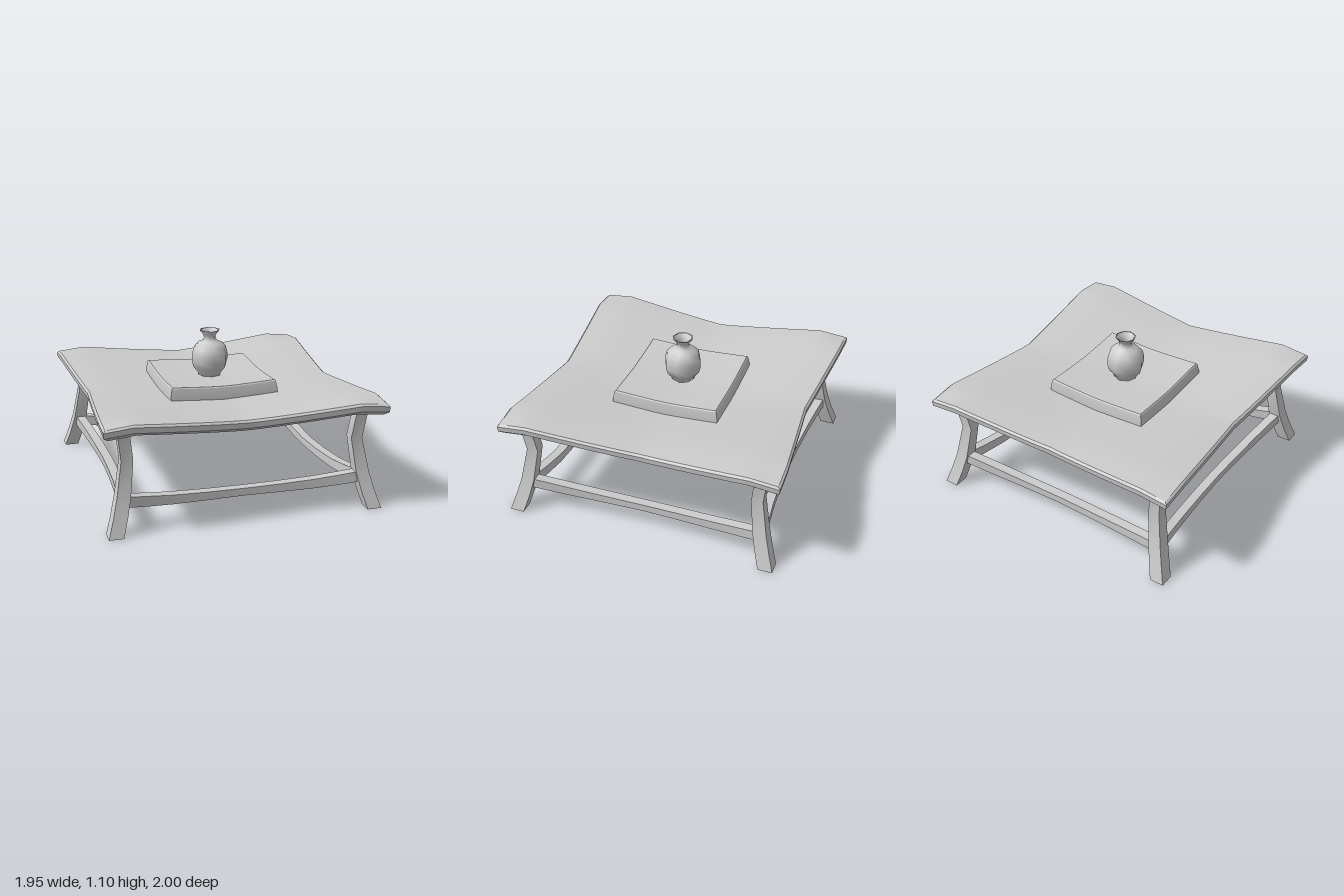
import * as THREE from 'three';
import { toCreasedNormals } from 'three/addons/utils/BufferGeometryUtils.js';

const material = new THREE.MeshStandardMaterial({ color: 0xcccccc });

function add(parent, name, geometry) {
  const mesh = new THREE.Mesh(geometry, material);
  mesh.name = name;
  parent.add(mesh);
  return mesh;
}

// Box whose layers follow an outline and a height rule.
// layers: [inset, drop] from top to bottom
function slab(segments, layers, outline, height) {
  const g = new THREE.BoxGeometry(2, 1, 2, segments, layers.length - 1, segments);
  const p = g.attributes.position;
  for (let i = 0; i < p.count; i++) {
    const u = p.getX(i), v = p.getZ(i);
    const [inset, drop] = layers[Math.round((0.5 - p.getY(i)) * (layers.length - 1))];
    p.setXYZ(i, u * (outline(Math.abs(v)) - inset),
      height(Math.abs(u), Math.abs(v)) - drop,
      v * (outline(Math.abs(u)) - inset));
  }
  return toCreasedNormals(g, 0.45);
}

// Solid bar through four-cornered sections, with end caps
function loft(sections) {
  const pos = [];
  const quad = (a, b, c, d) => pos.push(...a, ...b, ...c, ...a, ...c, ...d);
  for (let s = 0; s < sections.length - 1; s++) {
    const a = sections[s], b = sections[s + 1];
    for (let k = 0; k < 4; k++) {
      const n = (k + 1) % 4;
      quad(a[k], a[n], b[n], b[k]);
    }
  }
  const first = sections[0], last = sections[sections.length - 1];
  quad(first[3], first[2], first[1], first[0]);
  quad(last[0], last[1], last[2], last[3]);
  const g = new THREE.BufferGeometry();
  g.setAttribute('position', new THREE.Float32BufferAttribute(pos, 3));
  return toCreasedNormals(g, 0.5);
}

export function createModel() {
  const model = new THREE.Group();
  model.name = 'lowTableWithVase';
  const table = new THREE.Group();
  table.name = 'table';
  table.scale.z = 1.025;
  model.add(table);

  // Sagging top with pinched sides and lifted corners
  const rise = (t) => Math.pow(Math.min(t, 0.8) / 0.8, 1.2);
  const past = (t) => Math.max(0, t - 0.8) / 0.2;
  add(table, 'tabletop', slab(20,
    [[0.015, 0], [0, 0.014], [0.004, 0.053], [0.035, 0.078]],
    (t) => 0.905 + 0.07 * Math.min(t, 0.8) / 0.8,
    (u, v) => 0.675 + 0.035 * (rise(u) + rise(v)) + 0.03 * rise(u) * rise(v)
      - 0.02 * past(u) * past(v)));

  // Legs: [height, inner, outer], the same on both horizontal axes
  const legProfile = [[0, 0.855, 0.955], [0.12, 0.82, 0.917], [0.25, 0.79, 0.883],
    [0.49, 0.76, 0.84], [0.74, 0.79, 0.872]];
  const legGeometry = loft(legProfile.map(([y, a, b]) =>
    [[a, y, a], [a, y, b], [b, y, b], [b, y, a]]));

  // Stretchers: [x, bottom, top, middle z], bowed down and inward
  const half = [[0, 0.142, 0.195, 0.775], [0.25, 0.142, 0.2, 0.782],
    [0.5, 0.147, 0.213, 0.797], [0.7, 0.163, 0.236, 0.82], [0.84, 0.182, 0.257, 0.842]];
  const path = [...half.slice(1).reverse().map(([x, ...r]) => [-x, ...r]), ...half];
  const stretcherGeometry = loft(path.map(([x, lo, hi, z]) =>
    [[x, lo, z - 0.033], [x, hi, z - 0.033], [x, hi, z + 0.033], [x, lo, z + 0.033]]));

  for (let i = 0; i < 4; i++) {
    add(table, 'leg', legGeometry).rotation.y = i * Math.PI / 2;
    add(table, 'stretcher', stretcherGeometry).rotation.y = i * Math.PI / 2;
  }

  // Raised square in the middle
  add(model, 'centrePanel', slab(8,
    [[0.017, 0], [0.01, 0.008], [0, 0.06], [0, 0.1]],
    () => 0.388,
    (u, v) => 0.765 + 0.018 * (Math.pow(u, 1.4) + Math.pow(v, 1.4))));

  // Eight-sided vase, hollow at the neck
  const vaseProfile = [[0, 0.755], [0.08, 0.757], [0.09, 0.79], [0.122, 0.83], [0.134, 0.875],
    [0.134, 0.925], [0.122, 0.97], [0.09, 1.005], [0.055, 1.02], [0.042, 1.04],
    [0.047, 1.065], [0.074, 1.1], [0.062, 1.098], [0.04, 1.065], [0.036, 1.04], [0.038, 1.02], [0, 1.01]];
  add(model, 'vase', new THREE.LatheGeometry(
    vaseProfile.map(([r, y]) => new THREE.Vector2(r, y)), 8));

  return model;
}
